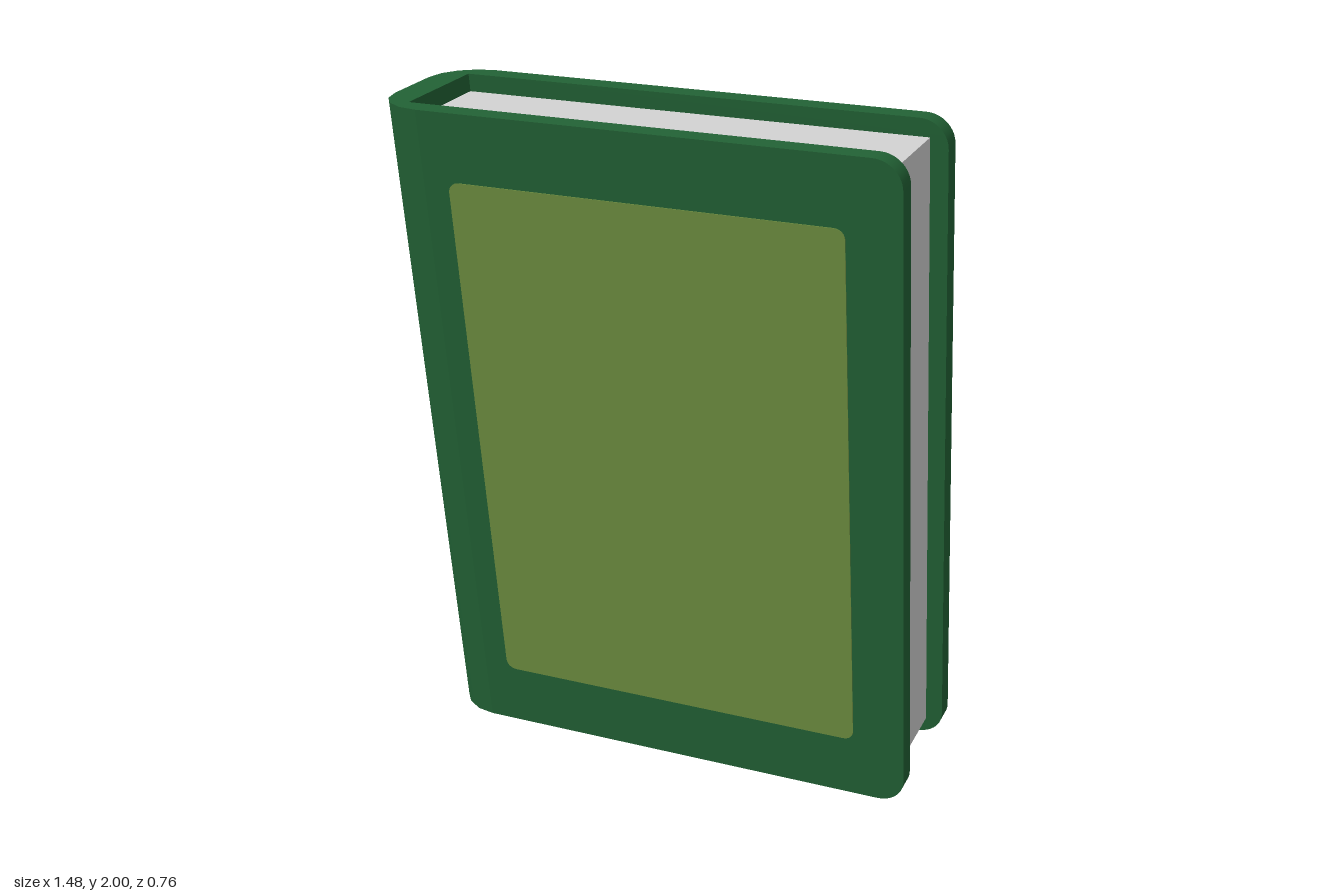
import * as THREE from 'three';
import { toCreasedNormals } from 'three/addons/utils/BufferGeometryUtils.js';

const HEIGHT = 1.993, HALF_Z = 0.235, BOARD = 0.065;
const LEFT = -0.74, RIGHT = 0.74, RADIUS = 0.14, INNER = -0.655;

// Lean the whole book toward the front
function lean(geometry) {
  const p = geometry.attributes.position;
  for (let i = 0; i < p.count; i++) {
    const y = p.getY(i), z = p.getZ(i);
    p.setXYZ(i, p.getX(i), 1 + y - 0.015 * z, z + 0.147 * y);
  }
  geometry.computeVertexNormals();
  return toCreasedNormals(geometry, 0.6);
}

// Rectangle with separate corner radii for the left and right side
function roundedRect(x0, x1, y0, y1, rl, rr) {
  const s = new THREE.Shape();
  const corner = (cx, cy, r, a) => {
    if (r === 0) s.lineTo(cx, cy);
    else s.absarc(cx, cy, r, a, a + Math.PI / 2, false);
  };
  s.moveTo(x0 + rl, y0);
  corner(x1 - rr, y0 + rr, rr, -Math.PI / 2);
  corner(x1 - rr, y1 - rr, rr, 0);
  corner(x0 + rl, y1 - rl, rl, Math.PI / 2);
  corner(x0 + rl, y0 + rl, rl, Math.PI);
  return s;
}

function slab(shape, depth, z0, curveSegments = 5) {
  const g = new THREE.ExtrudeGeometry(shape, { depth, bevelEnabled: false, curveSegments });
  return g.translate(0, 0, z0);
}

// Cross-section of the spine's outside, as x and z points from +z to -z
function spineCurve(offset, maxAngle, steps) {
  const pts = [], flat = HALF_Z - RADIUS, r = RADIUS + offset;
  for (let i = 0; i <= steps; i++) {
    const a = maxAngle * (1 - i / steps);
    pts.push(new THREE.Vector2(LEFT + RADIUS - r * Math.cos(a), flat + r * Math.sin(a)));
  }
  return pts.concat(pts.map((p) => new THREE.Vector2(p.x, -p.y)).reverse());
}

// Extrude a cross-section upward between two heights
function upright(points, y0, y1) {
  const g = new THREE.ExtrudeGeometry(new THREE.Shape(points), { depth: y1 - y0, bevelEnabled: false });
  return g.rotateX(-Math.PI / 2).translate(0, y0, 0);
}

export function createModel() {
  const group = new THREE.Group();
  group.name = 'book';
  const material = (name, color) => {
    const m = new THREE.MeshStandardMaterial({ color });
    m.name = name;
    return m;
  };
  const green = material('cover green', 0x226235);
  const olive = material('panel olive', 0x6e8f41);
  const paper = material('paper grey', 0xd2d2d2);
  const add = (name, geometry, mat) => {
    const mesh = new THREE.Mesh(lean(geometry), mat);
    mesh.name = name;
    group.add(mesh);
  };

  // Cover boards with rounded outer corners, each with an inlaid panel
  const h = HEIGHT / 2;
  const board = roundedRect(LEFT + RADIUS, RIGHT, -h, h, 0, 0.08);
  const panel = roundedRect(-0.525, 0.59, -0.8, 0.8, 0.03, 0.03);
  add('frontCover', slab(board, BOARD, HALF_Z - BOARD), green);
  add('backCover', slab(board, BOARD, -HALF_Z), green);
  add('frontPanel', slab(panel, 0.006, HALF_Z - 0.003, 3), olive);
  add('backPanel', slab(panel, 0.006, -HALF_Z - 0.003, 3), olive);

  // Spine, rounded outside and square inside
  const inZ = HALF_Z - BOARD, edge = LEFT + RADIUS;
  const inside = [[edge, -inZ], [INNER, -inZ], [INNER, inZ], [edge, inZ]]
    .map(([x, z]) => new THREE.Vector2(x, z));
  add('spine', upright([...spineCurve(0, Math.PI / 2, 4), ...inside], -h, h), green);

  // Spine panels wrapping slightly round the curve
  const strip = [...spineCurve(0.004, 0.25, 2), ...spineCurve(-0.004, 0.25, 2).reverse()];
  add('spinePanel', upright(strip, -0.65, 0.8), olive);
  add('spineSmallPanel', upright(strip, -0.96, -0.8), olive);

  // Page block
  const pages = new THREE.BoxGeometry(0.69 - INNER, 1.89, inZ * 2);
  add('pages', pages.translate((0.69 + INNER) / 2, 0, 0), paper);

  return group;
}
